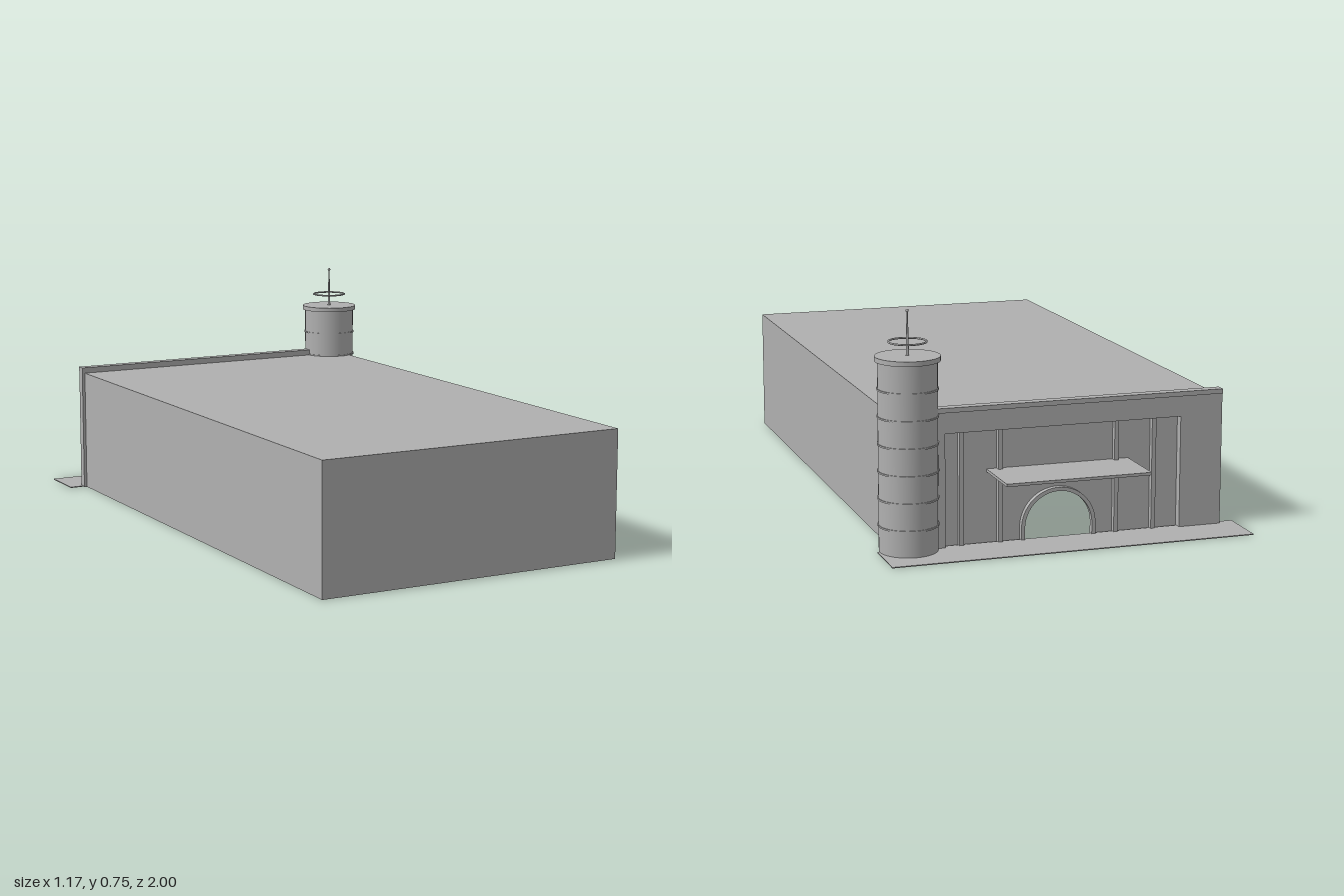
import * as THREE from 'three';

const grey = new THREE.MeshStandardMaterial({ color: 0xb0b0b0, side: THREE.DoubleSide });
grey.name = 'plain grey';

export function createModel() {
  const model = new THREE.Group();
  model.name = 'hallWithTower';

  const add = (name, geometry, x = 0, y = 0, z = 0, parent = model) => {
    const mesh = new THREE.Mesh(geometry, grey);
    mesh.name = name;
    mesh.position.set(x, y, z);
    parent.add(mesh);
    return mesh;
  };
  // Box given by its limits on each axis
  const block = (name, x0, x1, y0, y1, z0, z1) =>
    add(name, new THREE.BoxGeometry(x1 - x0, y1 - y0, z1 - z0),
      (x0 + x1) / 2, (y0 + y1) / 2, (z0 + z1) / 2);

  // Hall: thin shell, open underneath
  const X0 = -0.53, X1 = 0.525, H = 0.42, Z0 = -0.805, Z1 = 1;
  const W = X1 - X0, D = Z1 - Z0, cx = (X0 + X1) / 2, cz = (Z0 + Z1) / 2;
  add('hallFrontWall', new THREE.PlaneGeometry(W, H), cx, H / 2, Z1);
  add('hallRoof', new THREE.PlaneGeometry(W, D).rotateX(-Math.PI / 2), cx, H, cz);
  for (const [name, x, turn] of [['hallLeftWall', X1, 1], ['hallRightWall', X0, -1]]) {
    add(name, new THREE.PlaneGeometry(D, H).rotateY(turn * Math.PI / 2), x, H / 2, cz);
  }

  // Back wall with an arched doorway
  const R = 0.11, spring = 0.04;
  const wall = new THREE.Shape();
  wall.moveTo(X0, 0);
  wall.lineTo(-R, 0);
  wall.lineTo(-R, spring);
  wall.absarc(0, spring, R, Math.PI, 0, true);
  wall.lineTo(R, 0);
  wall.lineTo(X1, 0);
  wall.lineTo(X1, H);
  wall.lineTo(X0, H);
  add('entranceWall', new THREE.ShapeGeometry(wall, 24), 0, 0, Z0);

  // Arch surround
  const arch = new THREE.Shape();
  arch.moveTo(-R - 0.012, 0);
  arch.lineTo(-R - 0.012, spring);
  arch.absarc(0, spring, R + 0.012, Math.PI, 0, true);
  arch.lineTo(R + 0.012, 0);
  arch.lineTo(R, 0);
  arch.lineTo(R, spring);
  arch.absarc(0, spring, R, 0, Math.PI, false);
  arch.lineTo(-R, 0);
  add('doorArch', new THREE.ExtrudeGeometry(arch,
    { depth: 0.018, bevelEnabled: false, curveSegments: 20 }), 0, 0, Z0 - 0.018);

  // Projecting facade frame around the recessed entrance
  block('facadeRightPier', -0.54, -0.4, 0, 0.425, -0.832, Z0 + 0.001);
  block('facadeLeftPier', 0.37, 0.42, 0, 0.425, -0.832, Z0 + 0.001);
  block('facadeBeam', -0.4, 0.37, 0.36, 0.425, -0.832, Z0 + 0.001);
  block('parapet', -0.54, 0.4, 0.425, 0.44, -0.836, -0.803);
  for (const x of [-0.315, -0.19, 0.19, 0.315]) {
    block('mullion', x - 0.007, x + 0.007, 0, 0.36, Z0 - 0.018, Z0);
  }

  // Entrance canopy and paving
  block('canopy', -0.235, 0.23, 0.225, 0.234, -1, Z0);
  block('paving', -0.59, 0.58, 0, 0.003, -0.98, -0.812);

  // Round tower, open at the foot
  const tower = new THREE.Group();
  tower.name = 'tower';
  tower.position.set(0.482, 0, -0.815);
  model.add(tower);
  add('towerShaft', new THREE.CylinderGeometry(0.091, 0.091, 0.59, 40, 1, true), 0, 0.295, 0, tower);
  add('towerCap', new THREE.CylinderGeometry(0.1, 0.1, 0.015, 40), 0, 0.598, 0, tower);
  for (let i = 1; i <= 6; i++) {
    add('towerBand', new THREE.CylinderGeometry(0.094, 0.094, 0.005, 40, 1), 0, i * 0.0842, 0, tower);
  }

  // Mast with ring and ball
  add('mast', new THREE.CylinderGeometry(0.002, 0.005, 0.135, 10), 0, 0.672, 0, tower);
  add('mastBall', new THREE.SphereGeometry(0.005, 12, 8), 0, 0.742, 0, tower);
  add('mastRing', new THREE.TorusGeometry(0.058, 0.003, 8, 40).rotateX(Math.PI / 2), 0, 0.648, 0, tower);

  return model;
}
